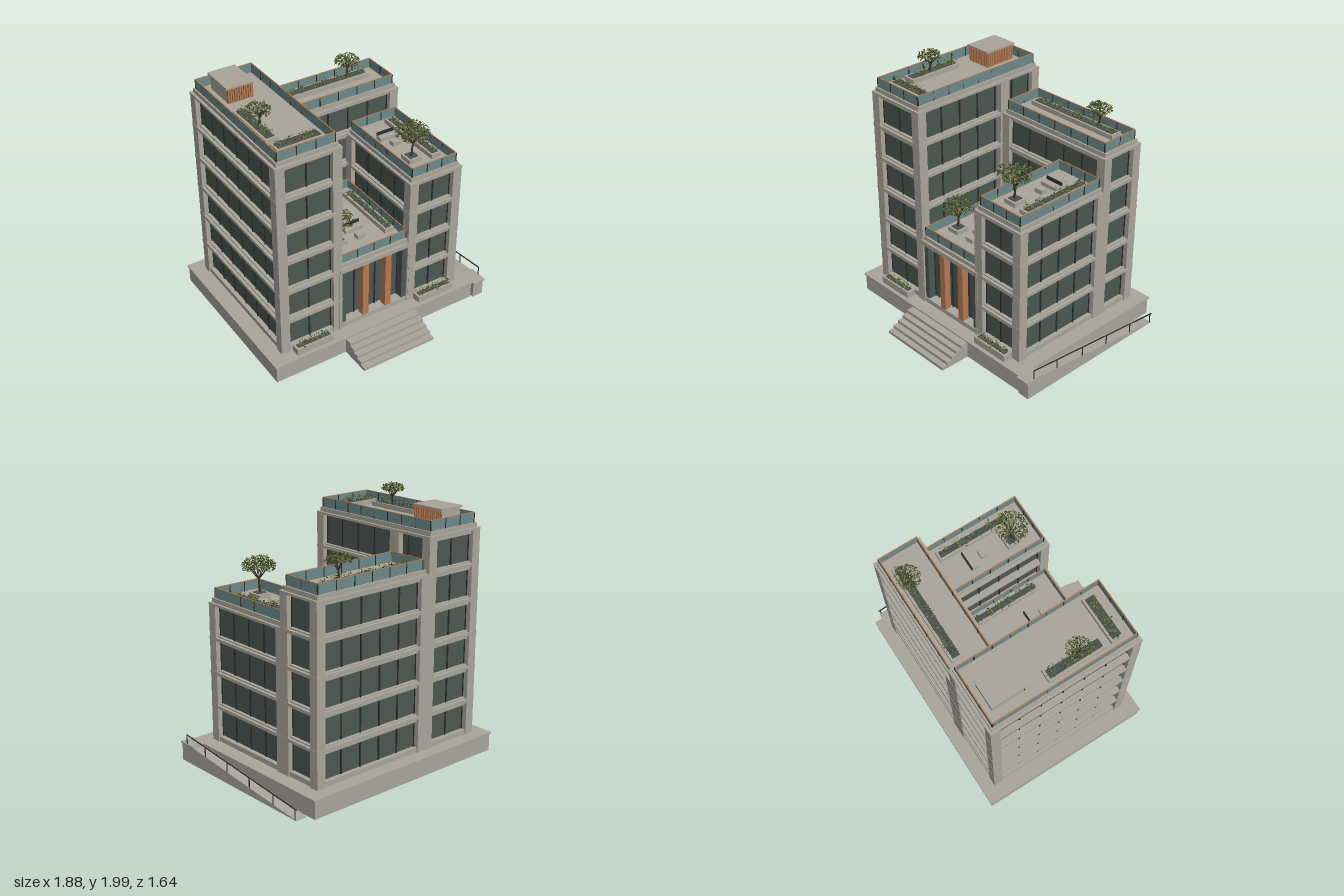
import * as THREE from 'three';
import { mergeGeometries } from 'three/addons/utils/BufferGeometryUtils.js';

const material = (name, color, side = THREE.FrontSide) => {
  const m = new THREE.MeshStandardMaterial({ color, side });
  m.name = name;
  return m;
};

export function createModel() {
  const M = {
    concrete: material('concrete', 0xaaa69b),
    window: material('window glass', 0x4c5751),
    rail: material('balustrade glass', 0x6d8a89),
    frame: material('dark metal', 0x2b302e),
    copper: material('copper cladding', 0xb67a52),
    soil: material('soil', 0x49524a),
    bark: material('bark', 0x40352a),
    leaf: material('olive leaf', 0x747a45, THREE.DoubleSide),
    leafDark: material('dark leaf', 0x3f4a2d, THREE.DoubleSide),
  };
  const model = new THREE.Group();
  model.name = 'terracedBuilding';
  let seed = 7;
  const rnd = () => (seed = (seed * 16807) % 2147483647) / 2147483647;

  const group = (name, parent = model) => {
    const g = new THREE.Group();
    g.name = name;
    parent.add(g);
    return g;
  };
  const add = (p, name, mat, geo) => {
    const m = new THREE.Mesh(geo, mat);
    m.name = name;
    p.add(m);
    return m;
  };
  const boxGeo = (x0, x1, y0, y1, z0, z1) => new THREE.BoxGeometry(x1 - x0, y1 - y0, z1 - z0)
    .translate((x0 + x1) / 2, (y0 + y1) / 2, (z0 + z1) / 2);
  const box = (p, name, mat, ...b) => add(p, name, mat, boxGeo(...b));
  const rodGeo = (a, b, r0, r1 = r0) => {
    const A = new THREE.Vector3(...a), d = new THREE.Vector3(...b).sub(A);
    const q = new THREE.Quaternion().setFromUnitVectors(new THREE.Vector3(0, 1, 0), d.clone().normalize());
    return new THREE.CylinderGeometry(r1, r0, d.length(), 6).applyQuaternion(q)
      .translate(A.x + d.x / 2, A.y + d.y / 2, A.z + d.z / 2);
  };

  // Plinth, front steps and side ramp
  const base = group('base');
  box(base, 'plinth', M.concrete, -0.93, 0.83, 0, 0.137, -0.81, 0.575);
  box(base, 'plinthCap', M.concrete, -0.94, 0.84, 0.135, 0.147, -0.82, 0.585);
  for (let i = 0; i < 5; i++) box(base, 'step', M.concrete, -0.34, 0.285, 0, 0.025 * (i + 1), 0.57, 0.82 - i * 0.046);
  const wedge = new THREE.Shape([[-0.74, 0], [0.59, 0], [0.59, 0.135], [0.45, 0.135], [-0.74, 0.004]]
    .map(([z, y]) => new THREE.Vector2(z, y)));
  add(base, 'ramp', M.concrete, new THREE.ExtrudeGeometry(wedge, { depth: 0.093, bevelEnabled: false })
    .rotateY(-Math.PI / 2).translate(0.935, 0, 0));
  box(base, 'rampLanding', M.concrete, 0.832, 0.94, 0.135, 0.147, 0.45, 0.605);
  const rampY = (z) => 0.135 * (z + 0.74) / 1.19;
  const rampRail = [rodGeo([0.932, rampY(-0.74) + 0.08, -0.74], [0.932, 0.218, 0.53], 0.005)];
  for (const z of [0.53, 0.3, 0.035, -0.225, -0.49, -0.725])
    rampRail.push(rodGeo([0.932, Math.min(rampY(z), 0.135), z], [0.932, rampY(z) * 0.98 + 0.079, z], 0.004));
  add(base, 'rampHandrail', M.frame, mergeGeometries(rampRail));

  // Glass balustrade with dark posts and copper top strip
  const balustrade = (p, x0, x1, y, z0, z1) => {
    const g = group('balustrade', p), h = 0.073, t = 0.004, posts = [];
    const side = (len, n, at) => { for (let i = 0; i <= n; i++) posts.push(at(-len / 2 + len * i / n)); };
    const cx = (x0 + x1) / 2, cz = (z0 + z1) / 2;
    const post = (x, z) => boxGeo(x - 0.004, x + 0.004, y, y + h - 0.001, z - 0.006, z + 0.006);
    for (const z of [z0, z1]) {
      box(g, 'railGlass', M.rail, x0, x1, y, y + h, z - t, z + t);
      box(g, 'railCap', M.copper, x0, x1, y + h, y + h + 0.004, z - t, z + t);
      side(x1 - x0, Math.round((x1 - x0) / 0.15), (d) => post(cx + d, z));
    }
    for (const x of [x0, x1]) {
      box(g, 'railGlass', M.rail, x - t, x + t, y, y + h, z0, z1);
      box(g, 'railCap', M.copper, x - t, x + t, y + h, y + h + 0.004, z0, z1);
      side(z1 - z0, Math.round((z1 - z0) / 0.15), (d) => post(x, cz + d).clone());
    }
    add(g, 'railPosts', M.frame, mergeGeometries(posts));
  };

  // Storey block: recessed glazing, corner piers, floor slabs, lintels, mullions, roof deck
  const Y0 = 0.165, STOREY = 0.264, PIER = 0.074;
  const block = (name, x0, x1, z0, z1, floors, sidePiers = []) => {
    const g = group(name), top = Y0 + floors * STOREY, r = 0.045;
    box(g, 'glazing', M.window, x0 + r, x1 - r, Y0, top - 0.01, z0 + r, z1 - r);
    for (const x of [x0, x1 - PIER]) for (const z of [z0, z1 - PIER])
      box(g, 'cornerPier', M.concrete, x, x + PIER, 0.147, top, z, z + PIER);
    for (const z of sidePiers) box(g, 'sidePier', M.concrete, x1 - PIER, x1, 0.147, top, z - 0.045, z + 0.045);
    box(g, 'baseCourse', M.concrete, x0 + 0.01, x1 - 0.01, 0.147, 0.185, z0 + 0.01, z1 - 0.01);
    for (let i = 1; i <= floors; i++) {
      const y = Y0 + i * STOREY, last = i === floors;
      box(g, 'floorSlab', M.concrete, x0 - 0.002, x1 + 0.002, y - 0.018, last ? y : y + 0.006, z0 - 0.002, z1 + 0.002);
      if (!last) box(g, 'sill', M.concrete, x0 + 0.02, x1 - 0.02, y, y + 0.016, z0 + 0.02, z1 - 0.02);
      for (const z of [z0 + 0.02, z1 - 0.045])
        box(g, 'lintel', M.concrete, x0 + 0.02, x1 - 0.02, y - 0.045, y - 0.01, z, z + 0.025);
    }
    const bars = [], nx = Math.round((x1 - x0 - 0.15) / 0.19), nz = Math.round((z1 - z0 - 0.15) / 0.18);
    for (let i = 0; i <= nx; i++) {
      const x = x0 + PIER + (x1 - x0 - 2 * PIER) * i / nx;
      for (const z of [z0 + r, z1 - r]) bars.push(boxGeo(x - 0.005, x + 0.005, Y0, top - 0.01, z - 0.008, z + 0.008));
    }
    for (let i = 0; i <= nz; i++) {
      const z = z0 + PIER + (z1 - z0 - 2 * PIER) * i / nz;
      for (const x of [x0 + r, x1 - r]) bars.push(boxGeo(x - 0.008, x + 0.008, Y0, top - 0.01, z - 0.005, z + 0.005));
    }
    add(g, 'mullions', M.frame, mergeGeometries(bars));
    box(g, 'roofDeck', M.concrete, x0 + 0.018, x1 - 0.018, top, top + 0.032, z0 + 0.018, z1 - 0.018);
    balustrade(g, x0 + 0.034, x1 - 0.036, top + 0.032, z0 + 0.036, z1 - 0.034);
    return top + 0.032;
  };
  const towerY = block('tallTower', -0.83, -0.31, -0.72, 0.48, 6, [-0.365]);
  const backY = block('backWing', -0.312, 0.73, -0.72, -0.34, 5);
  const rightY = block('rightWing', 0.27, 0.73, -0.362, 0.48, 4);

  // Entrance hall with its terrace
  const hall = group('entranceHall'), hallY = 0.735;
  box(hall, 'lobbyGlass', M.window, -0.32, 0.28, 0.147, 0.67, -0.34, 0.4);
  box(hall, 'threshold', M.concrete, -0.33, 0.293, 0.147, 0.185, 0.36, 0.475);
  box(hall, 'canopy', M.concrete, -0.33, 0.295, 0.667, 0.703, -0.34, 0.488);
  box(hall, 'terraceDeck', M.concrete, -0.315, 0.275, 0.7, hallY, -0.34, 0.468);
  for (const s of [-1, 1]) {
    const c = -0.02;
    const span = (a, b) => [c + s * a, c + s * b].sort((p, q) => p - q);
    box(hall, 'sidePanel', M.window, ...span(0.25, 0.305), 0.185, 0.667, 0.4, 0.465);
    box(hall, 'sideJamb', M.concrete, ...span(0.303, 0.314), 0.147, 0.667, 0.4, 0.482);
    for (const d of [0.25, 0.14, 0.045])
      box(hall, 'doorFrame', M.frame, ...span(d - 0.005, d + 0.005), 0.185, 0.667, 0.39, 0.408);
    box(hall, 'copperColumn', M.copper, s * 0.1 - 0.026, s * 0.1 + 0.026, 0.185, 0.667, 0.42, 0.475);
  }
  balustrade(hall, -0.305, 0.268, hallY - 0.003, -0.335, 0.447);

  // Rooftop pavilion with copper slats on two sides
  const pav = group('roofPavilion');
  box(pav, 'pavilionWalls', M.concrete, -0.705, -0.52, towerY, 1.895, -0.63, -0.38);
  box(pav, 'slatBackingFront', M.bark, -0.705, -0.518, towerY, 1.893, -0.38, -0.376);
  box(pav, 'slatBackingSide', M.bark, -0.52, -0.516, towerY, 1.893, -0.63, -0.376);
  const slats = [];
  for (let i = 0; i < 11; i++) slats.push(boxGeo(-0.705 + i * 0.018, -0.693 + i * 0.018, towerY, 1.895, -0.376, -0.366));
  for (let i = 0; i < 15; i++) slats.push(boxGeo(-0.516, -0.506, towerY, 1.895, -0.63 + i * 0.018, -0.618 + i * 0.018));
  add(pav, 'slats', M.copper, mergeGeometries(slats));
  box(pav, 'pavilionRoof', M.concrete, -0.72, -0.5, 1.895, 1.91, -0.64, -0.36);

  // Loose leaves scattered by a placement rule; each leaf is a small diamond
  const leaves = (p, name, mat, n, size, place) => {
    const pos = [];
    const v = (c, d, k) => [c[0] + d.x * k, c[1] + d.y * k, c[2] + d.z * k];
    for (let i = 0; i < n; i++) {
      const c = place(), a = new THREE.Vector3(rnd() - 0.5, rnd() - 0.5, rnd() - 0.5).normalize();
      const b = new THREE.Vector3(rnd() - 0.5, rnd() - 0.5, rnd() - 0.5).cross(a).normalize();
      const s = size * (0.7 + rnd() * 0.6), w = s * 0.5;
      pos.push(...v(c, a, s), ...v(c, b, w), ...v(c, a, -s), ...v(c, a, -s), ...v(c, b, -w), ...v(c, a, s));
    }
    const geo = new THREE.BufferGeometry();
    geo.setAttribute('position', new THREE.Float32BufferAttribute(pos, 3));
    geo.computeVertexNormals();
    add(p, name, mat, geo);
  };

  // Planter box with soil and shrub clumps
  const planter = (x0, x1, z0, z1, y, h, shrubs = 0) => {
    const g = group('planter'), t = 0.018;
    box(g, 'planterBox', M.concrete, x0, x1, y, y + h, z0, z1);
    box(g, 'soil', M.soil, x0 + t, x1 - t, y + h, y + h + 0.004, z0 + t, z1 - t);
    const alongX = x1 - x0 > z1 - z0;
    for (let k = 0; k < shrubs; k++) {
      const f = (k + 0.3 + rnd() * 0.4) / shrubs;
      const cx = alongX ? x0 + t + (x1 - x0 - 2 * t) * f : (x0 + x1) / 2;
      const cz = alongX ? (z0 + z1) / 2 : z0 + t + (z1 - z0 - 2 * t) * f;
      const place = () => [cx + (rnd() + rnd() - 1) * 0.048, y + h + 0.003 + rnd() * rnd() * 0.042, cz + (rnd() + rnd() - 1) * 0.042];
      leaves(g, 'shrub', M.leaf, 26, 0.009, place);
      leaves(g, 'shrubShade', M.leafDark, 20, 0.009, place);
    }
  };
  planter(-0.755, -0.655, -0.215, 0.235, towerY, 0.035, 5);
  planter(-0.75, -0.385, 0.28, 0.385, towerY, 0.035, 4);
  planter(-0.215, 0.6, -0.645, -0.55, backY, 0.035, 8);
  planter(-0.185, 0.095, -0.31, -0.23, hallY, 0.035, 3);
  planter(0.165, 0.245, -0.25, 0.33, hallY, 0.035, 6);
  planter(-0.245, -0.135, 0.175, 0.285, hallY, 0.035);
  planter(0.565, 0.65, -0.275, 0.33, rightY, 0.035, 6);
  planter(0.385, 0.495, 0.195, 0.305, rightY, 0.035);
  planter(-0.74, -0.43, 0.483, 0.555, 0.147, 0.053, 4);
  planter(0.335, 0.655, 0.483, 0.555, 0.147, 0.053, 4);

  // Umbrella-shaped trees
  const tree = (x, z, y, top, rx, rz, n) => {
    const g = group('tree'), h = (top - y) * 0.48, cy = y + h + (top - y - h) * 0.4, ry = top - cy;
    const fork = [x + 0.006, y + h * 0.75, z - 0.004], wood = [rodGeo([x - 0.006, y, z], fork, 0.009, 0.006)];
    for (let i = 0; i < 8; i++) {
      const a = i * Math.PI / 4 + rnd() * 0.5, k = 0.45 + rnd() * 0.35;
      wood.push(rodGeo(fork, [x + Math.cos(a) * rx * k, cy + ry * 0.2, z + Math.sin(a) * rz * k], 0.004, 0.002));
    }
    add(g, 'trunk', M.bark, mergeGeometries(wood));
    const place = () => {
      const a = rnd() * Math.PI * 2, k = Math.sqrt(rnd()) * 0.95, up = Math.sqrt(1 - k * k);
      return [x + Math.cos(a) * rx * k, cy + ry * (up * (1.25 * rnd() - 0.3) - 0.08), z + Math.sin(a) * rz * k];
    };
    leaves(g, 'crown', M.leaf, n, 0.011, place);
    leaves(g, 'crownShade', M.leafDark, n * 1.2, 0.011, place);
  };
  tree(-0.69, 0.045, towerY + 0.03, 1.995, 0.085, 0.095, 130);
  tree(0.43, -0.595, backY + 0.03, 1.75, 0.1, 0.095, 150);
  tree(-0.19, 0.23, hallY + 0.03, 1.03, 0.12, 0.13, 230);
  tree(0.44, 0.255, rightY + 0.03, 1.575, 0.135, 0.125, 250);

  // Terrace bench with backrest and a low table
  const seating = (x, z, y) => {
    const g = group('seating');
    box(g, 'bench', M.concrete, x - 0.075, x + 0.075, y, y + 0.03, z - 0.03, z + 0.03);
    box(g, 'benchBack', M.frame, x - 0.075, x + 0.075, y + 0.03, y + 0.055, z - 0.03, z - 0.022);
    box(g, 'lowTable', M.concrete, x - 0.035, x + 0.035, y, y + 0.035, z + 0.08, z + 0.135);
  };
  seating(-0.01, 0.15, hallY);
  seating(0.46, -0.09, rightY);

  return model;
}
